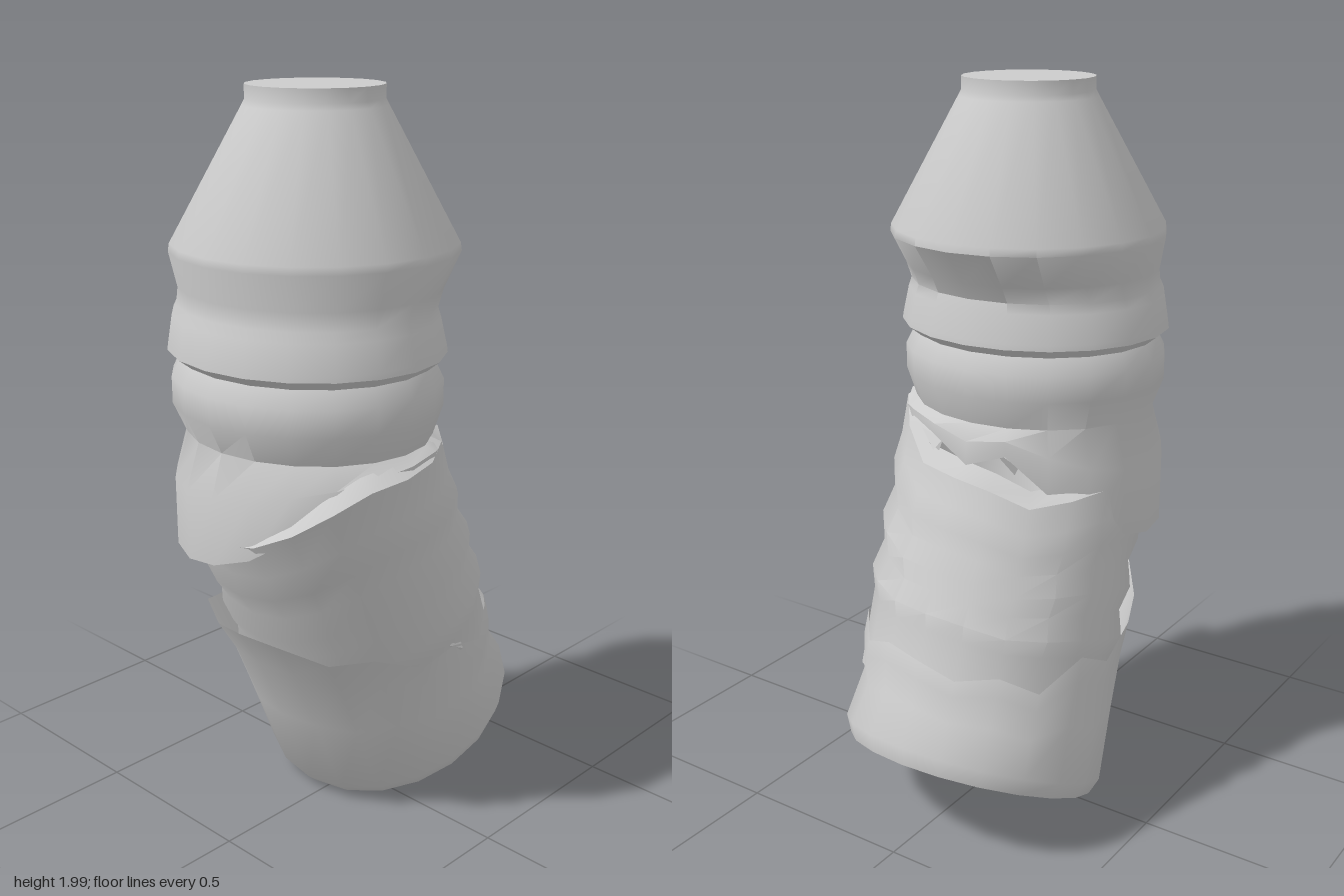
import * as THREE from 'three';
import { toCreasedNormals } from 'three/addons/utils/BufferGeometryUtils.js';

const SIDES = 20;
const mix = THREE.MathUtils.lerp;

// Lofts closed rings, listed bottom to top; point(row, side, angle) gives each corner.
function loft(name, rows, point) {
  const pos = [], index = [];
  for (let r = 0; r < rows; r++) {
    for (let s = 0; s < SIDES; s++) {
      pos.push(...point(r, s, (s / SIDES) * Math.PI * 2));
    }
  }
  for (let r = 0; r < rows - 1; r++) {
    for (let s = 0; s < SIDES; s++) {
      const n = (s + 1) % SIDES;
      const a = r * SIDES + s, b = r * SIDES + n;
      index.push(a, a + SIDES, b, b, a + SIDES, b + SIDES);
    }
  }
  const geo = new THREE.BufferGeometry();
  geo.setAttribute('position', new THREE.Float32BufferAttribute(pos, 3));
  geo.setIndex(index);
  const mesh = new THREE.Mesh(
    toCreasedNormals(geo, 0.75),
    new THREE.MeshStandardMaterial({ color: 0xcccccc, side: THREE.DoubleSide })
  );
  mesh.name = name;
  return mesh;
}

// Frame of the tilted lower half: t runs along its axis, u across, w in depth.
const BASE_X = 0.195, BASE_Y = 0.155, SIN = 0.42, COS = 0.907;
const tilted = (t, u, w) => [
  BASE_X - SIN * t + COS * u,
  BASE_Y + COS * t + SIN * u,
  -0.04 + 0.06 * t + w,
];
const axisAt = (y, u) => (y - BASE_Y - SIN * u) / COS;

// Heights of the torn edges, one per side, starting at +x and turning towards +z.
const BASE_EDGE = [0.56, 0.57, 0.53, 0.56, 0.5, 0.54, 0.51, 0.57, 0.56, 0.61,
  0.62, 0.6, 0.62, 0.57, 0.55, 0.5, 0.55, 0.49, 0.54, 0.53];
const MIDDLE_EDGE = [1.0, 1.01, 1.07, 1.12, 1.1, 1.09, 1.08, 1.03, 0.97, 0.92,
  0.9, 0.9, 0.9, 0.9, 0.92, 0.95, 0.96, 0.95, 0.94, 0.98];
const UPPER_EDGE = [1.02, 1.08, 1.1, 1.06, 1.1, 1.08, 1.05, 1.0, 0.95, 0.88,
  0.84, 0.82, 0.82, 0.81, 0.8, 0.8, 0.82, 0.87, 0.96, 1.06];

function makeBase() {
  // [axis position, radius]: hollow underside, rounded rim
  const foot = [[0.09, 0], [0.07, 0.17], [0.02, 0.26], [0, 0.3], [0.005, 0.345], [0.05, 0.366]];
  const wall = [0.45, 0.8, 1];
  return loft('tornBase', foot.length + wall.length, (row, s, a) => {
    if (row < foot.length) {
      const [t, r] = foot[row];
      return tilted(t, r * Math.cos(a), r * Math.sin(a));
    }
    const f = wall[row - foot.length];
    // slight dent near the right front, flared lip on the far side
    const dent = f < 0.5 ? 0.02 * Math.max(0, Math.cos(a - 0.6)) : 0;
    const flare = f === 1 ? 0.02 * Math.max(0, -Math.cos(a)) : 0;
    const r = 0.362 - dent + flare;
    const u = r * Math.cos(a);
    return tilted(mix(0.05, axisAt(BASE_EDGE[s], u), f), u, r * Math.sin(a));
  });
}

function makeMiddle() {
  // [fraction of height, radius]: shallow crumpled ribs
  const ribs = [[0, 0.33], [0.28, 0.335], [0.36, 0.352], [0.46, 0.334], [0.56, 0.352],
    [0.66, 0.334], [0.76, 0.35], [0.86, 0.342], [1, 0.345], [1, 0.3]];
  return loft('crumpledMiddle', ribs.length, (row, s, a) => {
    const [f, r] = ribs[row];
    const lip = row === ribs.length - 1;
    const u = 0.015 + r * Math.cos(a);
    const t = mix(0.2, axisAt(MIDDLE_EDGE[s], u), f) + (lip ? 0.03 : 0);
    const bulge = Math.sin(a) > 0 ? 1.06 : 1.03;
    return tilted(t, u, r * bulge * Math.sin(a));
  });
}

function makeUpper() {
  // [height, centre x, half width, half depth]
  const profile = [
    [1.13, -0.18, 0.302, 0.34],
    [1.21, -0.185, 0.335, 0.367],
    [1.28, -0.185, 0.335, 0.367],
    [1.325, -0.185, 0.31, 0.345],
    [1.35, -0.185, 0.342, 0.376],
    [1.365, -0.185, 0.34, 0.374],
    [1.44, -0.188, 0.325, 0.36],
    [1.465, -0.185, 0.315, 0.35],
    [1.51, -0.17, 0.325, 0.35],
    [1.6, -0.15, 0.37, 0.37],
    [1.62, -0.15, 0.367, 0.367],
    [1.95, -0.145, 0.183, 0.183],
    [1.965, -0.145, 0.175, 0.175],
    [2, -0.145, 0.175, 0.175],
    [2, -0.145, 0, 0],
  ];
  const skirt = [1, 0.4];
  return loft('upperBody', skirt.length + profile.length, (row, s, a) => {
    if (row < skirt.length) {
      const y = mix(1.13, UPPER_EDGE[s], skirt[row]);
      return [-0.185 + 0.335 * Math.cos(a), y, 0.37 * Math.sin(a)];
    }
    const [y, cx, rx, rz] = profile[row - skirt.length];
    return [cx + rx * Math.cos(a), y, rz * Math.sin(a)];
  });
}

// Small bent shards left in the tears.
function makeShard(x, y, z, turn, size) {
  const geo = new THREE.ConeGeometry(size, size * 2.2, 3, 1, true);
  geo.scale(1, 1, 0.35);
  const mesh = new THREE.Mesh(geo, new THREE.MeshStandardMaterial({
    color: 0xcccccc, side: THREE.DoubleSide, flatShading: true,
  }));
  mesh.position.set(x, y, z);
  mesh.rotation.set(0, turn, 1.1);
  mesh.name = 'tornShard';
  return mesh;
}

export function createModel() {
  const model = new THREE.Group();
  model.name = 'crushedBottle';
  model.add(makeBase(), makeMiddle(), makeUpper());
  model.add(
    makeShard(0.12, 1.06, 0.14, 1.2, 0.04),
    makeShard(0.11, 1.05, -0.1, 1.9, 0.04),
    makeShard(0.03, 0.53, 0.34, 0.2, 0.03)
  );
  return model;
}
